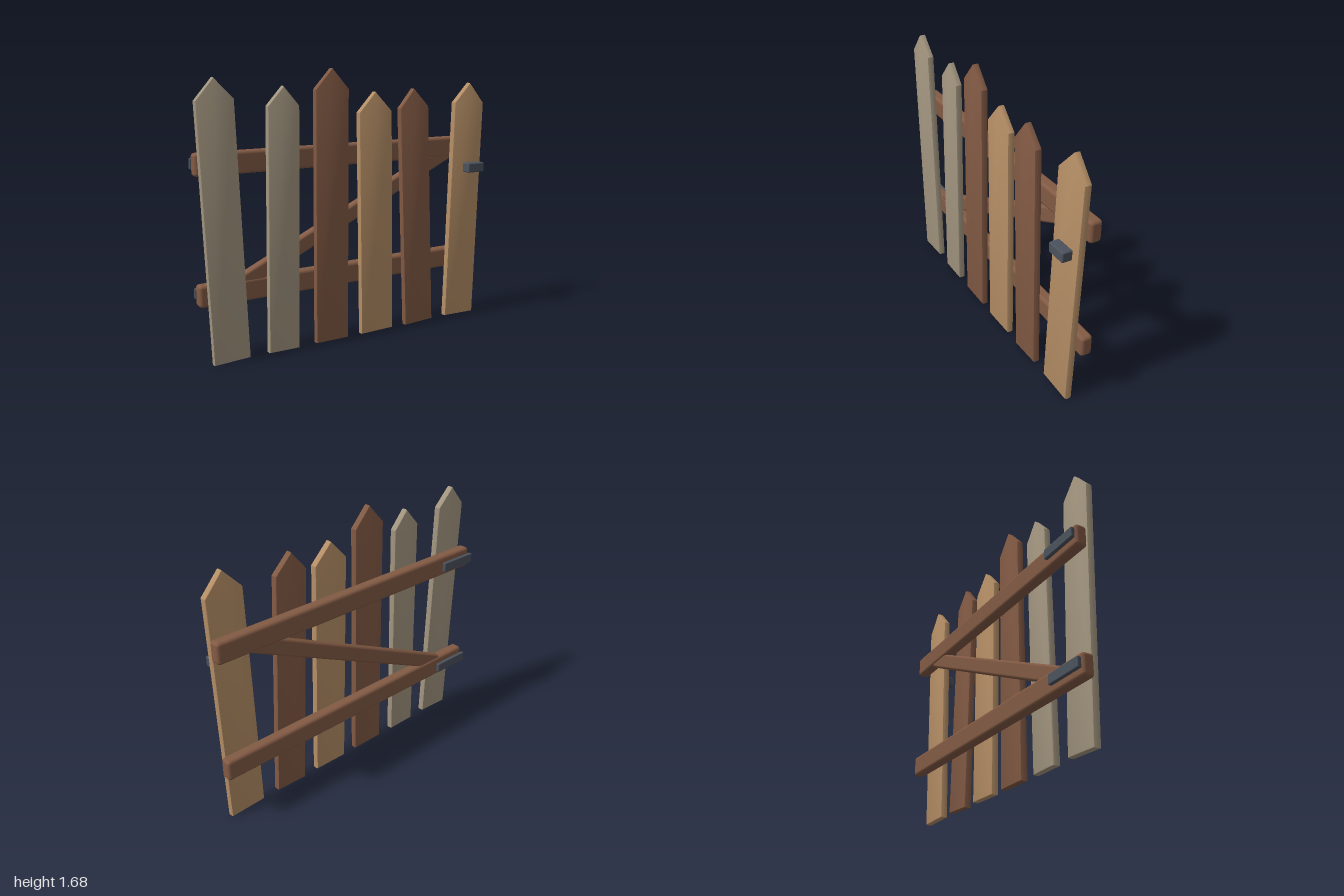
import * as THREE from 'three';
import { RoundedBoxGeometry } from 'three/addons/geometries/RoundedBoxGeometry.js';
import { toCreasedNormals } from 'three/addons/utils/BufferGeometryUtils.js';

const material = (name, color) => {
  const m = new THREE.MeshStandardMaterial({ color });
  m.name = name;
  return m;
};

export function createModel() {
  const weathered = material('weathered wood', 0xa39680);
  const tan = material('tan wood', 0xb68f66);
  const brown = material('brown wood', 0x825a44);
  const iron = material('dark iron', 0x4b525c);
  const gate = new THREE.Group();
  gate.name = 'picketGate';

  // Pointed board with softened edges, its foot centred on the origin
  function picketGeometry(width, height, point) {
    const b = 0.008, depth = 0.044, w = width / 2 - b;
    const shape = new THREE.Shape([
      new THREE.Vector2(-w, b),
      new THREE.Vector2(w, b),
      new THREE.Vector2(w, height - point - b * 0.4),
      new THREE.Vector2(0, height - b * 1.35),
      new THREE.Vector2(-w, height - point - b * 0.4),
    ]);
    const geo = new THREE.ExtrudeGeometry(shape, {
      depth: depth - 2 * b, bevelEnabled: true, bevelSize: b, bevelThickness: b, bevelSegments: 2,
    });
    geo.translate(0, 0, b - depth / 2);
    return toCreasedNormals(geo, 0.6);
  }

  // Pickets: foot x, tip x, tip y, width, point height, material
  [
    [-0.832, -0.895, 1.642, 0.225, 0.12, weathered],
    [-0.497, -0.476, 1.588, 0.2, 0.112, weathered],
    [-0.166, -0.158, 1.686, 0.225, 0.122, brown],
    [0.166, 0.143, 1.542, 0.236, 0.122, tan],
    [0.495, 0.43, 1.555, 0.216, 0.117, brown],
    [0.832, 0.88, 1.582, 0.236, 0.128, tan],
  ].forEach(([foot, tip, top, width, point, mat], i) => {
    const y = 0.009;
    const mesh = new THREE.Mesh(picketGeometry(width, Math.hypot(tip - foot, top - y), point), mat);
    mesh.name = `picket${i + 1}`;
    mesh.position.set(foot, y, 0.018);
    mesh.rotation.z = -Math.atan2(tip - foot, top - y);
    gate.add(mesh);
  });

  function block(name, size, radius, position, mat) {
    const mesh = new THREE.Mesh(new RoundedBoxGeometry(...size, 3, radius), mat);
    mesh.name = name;
    mesh.position.set(...position);
    gate.add(mesh);
    return mesh;
  }

  // Two rails, each with a hinge strap on the back
  for (const [label, y] of [['lower', 0.409], ['upper', 1.164]]) {
    block(`${label}Rail`, [2, 0.132, 0.074], 0.02, [0, y, -0.05], brown);
    block(`${label}Hinge`, [0.265, 0.062, 0.025], 0.006, [-0.867, y, -0.106], iron);
  }

  // Diagonal brace between the rails
  const brace = block('brace', [1.68, 0.098, 0.062], 0.016, [0, 0.786, -0.048], brown);
  brace.rotation.z = 0.43;

  // Latch on the front of the last picket
  block('latch', [0.13, 0.063, 0.064], 0.008, [0.887, 1.031, 0.086], iron);

  return gate;
}
